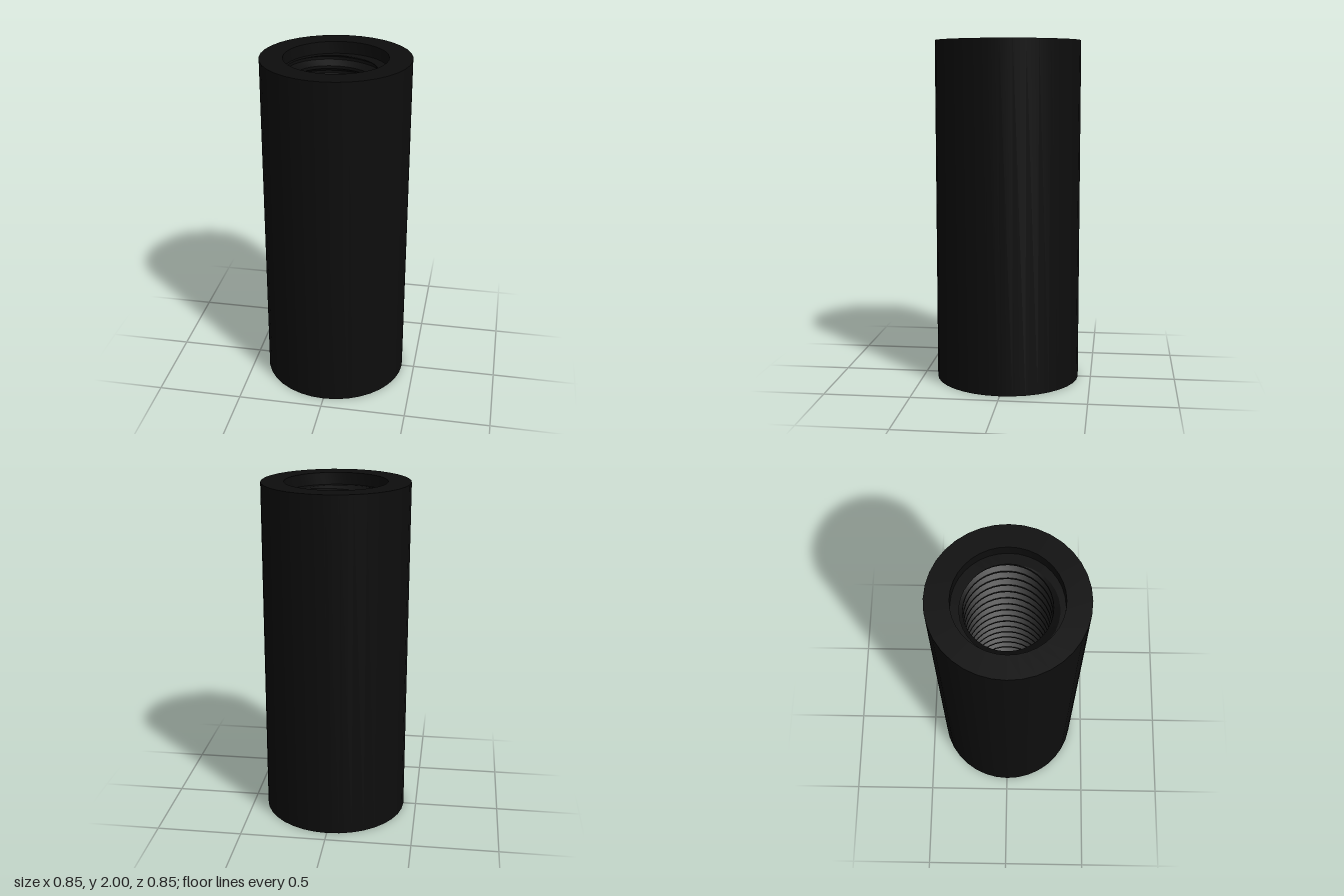
import * as THREE from 'three';
import { toCreasedNormals } from 'three/addons/utils/BufferGeometryUtils.js';

const SIDES = 36;
const HEIGHT = 2, OUTER = 0.424;
const RECESS = 0.293, DEPTH = 0.07;           // plain recess at both ends
const CREST = 0.232, ROOT = 0.277, PITCH = 0.083;
const LOW = DEPTH, HIGH = HEIGHT - DEPTH;
const BREAKS = [0, 0.2, 0.5, 0.7];            // crest start/end, root start/end

// Trapezoidal thread radius at a height and angle
function threadRadius(y, angle) {
  const turns = (y - LOW) / PITCH - angle / (2 * Math.PI);
  const t = turns - Math.floor(turns + 1e-6);
  if (t <= BREAKS[1]) return CREST;
  if (t <= BREAKS[2]) return THREE.MathUtils.mapLinear(t, BREAKS[1], BREAKS[2], CREST, ROOT);
  if (t <= BREAKS[3]) return ROOT;
  return THREE.MathUtils.mapLinear(t, BREAKS[3], 1, ROOT, CREST);
}

// Right-handed internal thread: a lathe whose rows climb one pitch per turn
function threadGeometry() {
  const rows = [];
  const turns = Math.ceil((HIGH - LOW) / PITCH);
  for (let k = turns; k >= -1; k--)
    for (let b = 3; b >= 0; b--) rows.push(LOW + (k + BREAKS[b]) * PITCH);
  // Outer edges of the two ledges where the thread meets the recesses
  const points = [HIGH, ...rows, LOW].map((y) => new THREE.Vector2(RECESS, y));
  const geometry = new THREE.LatheGeometry(points, SIDES);
  const pos = geometry.attributes.position;
  const n = points.length;
  for (let i = 0; i < pos.count; i++) {
    const row = i % n;
    if (row === 0 || row === n - 1) continue;
    const angle = (Math.floor(i / n) / SIDES) * 2 * Math.PI;
    const climbed = pos.getY(i) + (PITCH * angle) / (2 * Math.PI);
    const y = THREE.MathUtils.clamp(climbed, LOW, HIGH);
    const r = threadRadius(y, angle);
    pos.setXYZ(i, r * Math.sin(angle), y, r * Math.cos(angle));
  }
  return toCreasedNormals(geometry, 0.4);
}

function turned(points) {
  const profile = points.map(([r, y]) => new THREE.Vector2(r, y));
  return toCreasedNormals(new THREE.LatheGeometry(profile, SIDES), 0.6);
}

export function createModel() {
  const group = new THREE.Group();
  group.name = 'threadedSleeve';
  const material = new THREE.MeshStandardMaterial({ color: 0x0d0d0d, side: THREE.DoubleSide });
  const add = (name, geometry) => {
    const mesh = new THREE.Mesh(geometry, material);
    mesh.name = name;
    group.add(mesh);
  };

  // Outer wall with both end faces
  add('outerSleeve', turned([[RECESS, 0], [OUTER, 0], [OUTER, HEIGHT], [RECESS, HEIGHT]]));
  // Smooth recess walls at each end of the bore
  add('topRecess', turned([[RECESS, HEIGHT], [RECESS, HIGH]]));
  add('bottomRecess', turned([[RECESS, LOW], [RECESS, 0]]));
  // Threaded bore with its end ledges
  add('innerThread', threadGeometry());
  return group;
}
